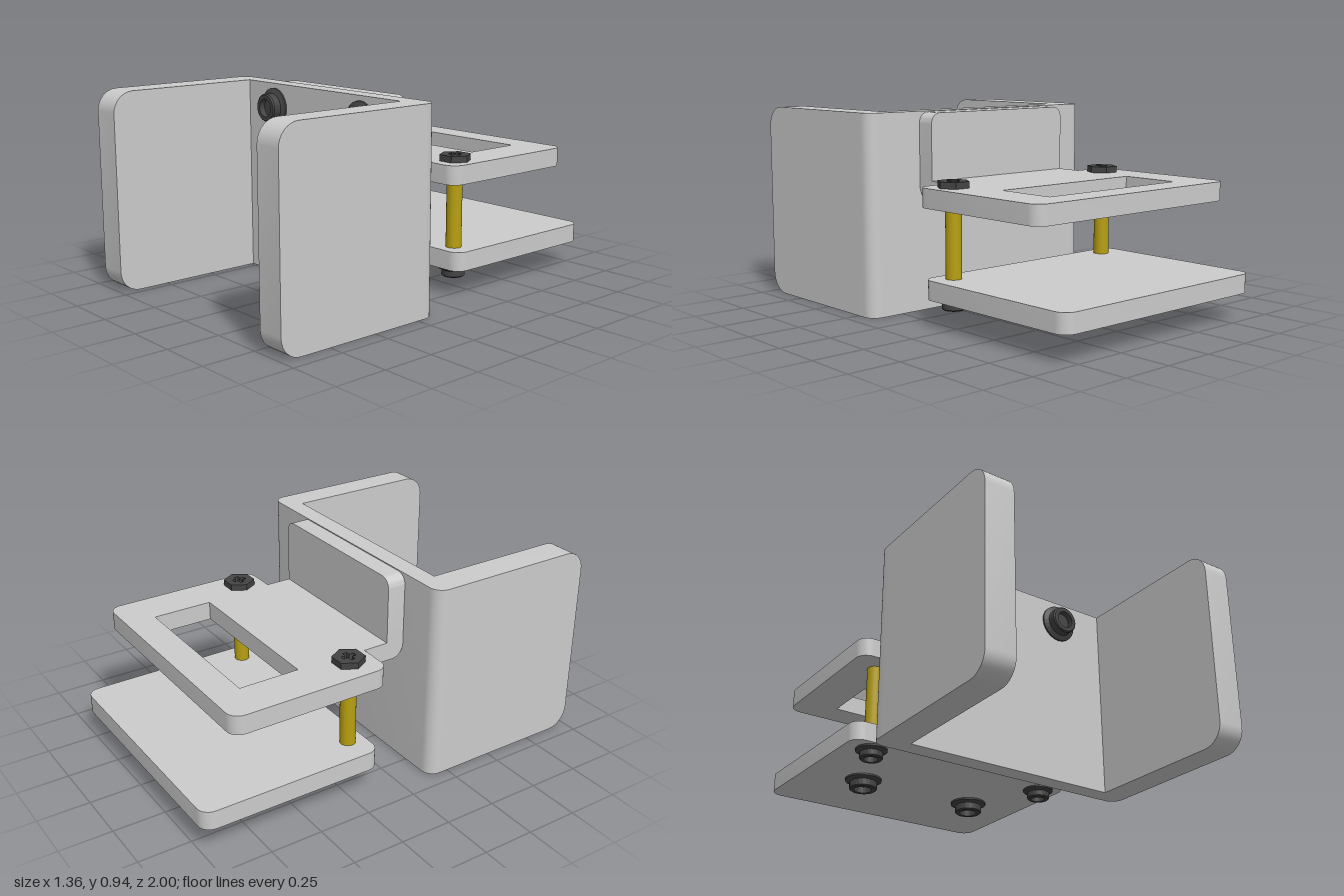
import * as THREE from 'three';
import { toCreasedNormals } from 'three/addons/utils/BufferGeometryUtils.js';

const grey = new THREE.MeshStandardMaterial({ color: 0xcccccc });
const dark = new THREE.MeshStandardMaterial({ color: 0x444444 });
const darkFlat = new THREE.MeshStandardMaterial({ color: 0x444444, flatShading: true });
const brass = new THREE.MeshStandardMaterial({ color: 0xb8a010 });

// Outline from corners [x, y, radius]
function outline(corners) {
  const shape = new THREE.Shape();
  const n = corners.length, k = 0.448;
  corners.forEach(([x, y, r = 0], i) => {
    const p = new THREE.Vector2(x, y);
    const toward = (c) => new THREE.Vector2(c[0] - x, c[1] - y).normalize();
    const a = toward(corners[(i + n - 1) % n]), b = toward(corners[(i + 1) % n]);
    const at = (d, s) => p.clone().addScaledVector(d, s);
    const start = at(a, r), end = at(b, r), c1 = at(a, r * k), c2 = at(b, r * k);
    if (i === 0) shape.moveTo(start.x, start.y); else shape.lineTo(start.x, start.y);
    if (r) shape.bezierCurveTo(c1.x, c1.y, c2.x, c2.y, end.x, end.y);
  });
  shape.closePath();
  return shape;
}

function rect(x0, y0, x1, y1, r = 0) {
  return outline([[x0, y0, r], [x1, y0, r], [x1, y1, r], [x0, y1, r]]);
}

function extrude(shape, depth) {
  return new THREE.ExtrudeGeometry(shape, { depth, bevelEnabled: false, curveSegments: 8 });
}

// Plan outline in (x, z), raised from y0 to y1
function planSlab(shape, y0, y1) {
  return toCreasedNormals(extrude(shape, y1 - y0).rotateX(Math.PI / 2).translate(0, y1, 0), 0.6);
}

// Side outline in (z, y), spanning x0 to x1
function sideSlab(shape, x0, x1) {
  return toCreasedNormals(extrude(shape, x1 - x0).rotateY(-Math.PI / 2).translate(x1, 0, 0), 0.6);
}

function add(parent, name, geometry, material) {
  const mesh = new THREE.Mesh(geometry, material);
  mesh.name = name;
  parent.add(mesh);
  return mesh;
}

// Flanged screw head with a round recess, pointing along +y
function flangedHead(flange, body, bore, height) {
  const points = [
    [0, 0], [flange, 0], [flange, 0.008], [body, 0.018], [body, height - 0.006],
    [body - 0.006, height], [bore, height], [bore, height - 0.03], [0, height - 0.03],
  ].map(([x, y]) => new THREE.Vector2(x, y));
  return new THREE.LatheGeometry(points, 24);
}

// Hexagonal head with a cross-shaped recess
function crossHead(radius, height) {
  const hex = new THREE.Shape();
  for (let i = 0; i < 6; i++) {
    const a = (i * Math.PI) / 3;
    hex[i ? 'lineTo' : 'moveTo'](radius * Math.cos(a), radius * Math.sin(a));
  }
  hex.closePath();
  const w = 0.011, l = 0.033;
  hex.holes.push(outline([
    [w, w], [w, l], [-w, l], [-w, w], [-l, w], [-l, -w],
    [-w, -w], [-w, -l], [w, -l], [w, -w], [l, -w], [l, w],
  ]));
  return planSlab(hex, 0, height);
}

export function createModel() {
  const model = new THREE.Group();
  model.name = 'clampBracket';

  // U-shaped channel
  const channel = new THREE.Group();
  channel.name = 'channel';
  model.add(channel);
  add(channel, 'channelBack', planSlab(outline([
    [-0.68, 0.145, 0.06], [0.675, 0.145, 0.06], [0.675, 0.235], [-0.68, 0.235],
  ]), 0, 0.945), grey);
  const wall = outline([[0.235, 0], [1, 0, 0.1], [1, 0.945, 0.1], [0.235, 0.945]]);
  add(channel, 'rightWall', sideSlab(wall, -0.68, -0.535), grey);
  add(channel, 'leftWall', sideSlab(wall, 0.54, 0.675), grey);

  // Angle bracket: upright, elbow and windowed plate
  const bracket = new THREE.Group();
  bracket.name = 'angleBracket';
  model.add(bracket);
  const upright = outline([[-0.445, 0.625], [0.39, 0.625], [0.39, 0.94, 0.05], [-0.445, 0.94, 0.05]]);
  add(bracket, 'upright', toCreasedNormals(extrude(upright, 0.09).translate(0, 0, 0.055), 0.6), grey);
  add(bracket, 'elbow', sideSlab(outline([
    [-0.07, 0.535], [0.145, 0.535, 0.06], [0.145, 0.625], [-0.07, 0.625],
  ]), -0.445, 0.39), grey);
  const upper = rect(-0.63, -0.845, 0.575, -0.07, 0.06);
  upper.holes.push(rect(-0.43, -0.7, 0.37, -0.41));
  add(bracket, 'upperPlate', planSlab(upper, 0.535, 0.625), grey);

  // Lower plate
  add(model, 'lowerPlate', planSlab(rect(-0.63, -1, 0.575, -0.105, 0.06), 0.125, 0.215), grey);

  // Posts with a cross head above and a flanged nut below
  for (const x of [-0.495, 0.465]) {
    add(model, 'post', new THREE.CylinderGeometry(0.037, 0.037, 0.32, 24), brass)
      .position.set(x, 0.375, -0.19);
    add(model, 'postScrew', crossHead(0.075, 0.03), dark).position.set(x, 0.625, -0.19);
    const nut = add(model, 'postNut', flangedHead(0.075, 0.055, 0.033, 0.05), darkFlat);
    nut.position.set(x, 0.125, -0.19);
    nut.rotation.x = Math.PI;
  }

  // Flanged screws in the channel back and under the lower plate
  for (const x of [-0.335, 0.285]) {
    const front = add(model, 'channelScrew', flangedHead(0.092, 0.068, 0.043, 0.06), darkFlat);
    front.position.set(x, 0.83, 0.235);
    front.rotation.x = Math.PI / 2;
    const under = add(model, 'plateScrew', flangedHead(0.09, 0.068, 0.043, 0.055), darkFlat);
    under.position.set(x, 0.125, -0.555);
    under.rotation.x = Math.PI;
  }
  return model;
}
